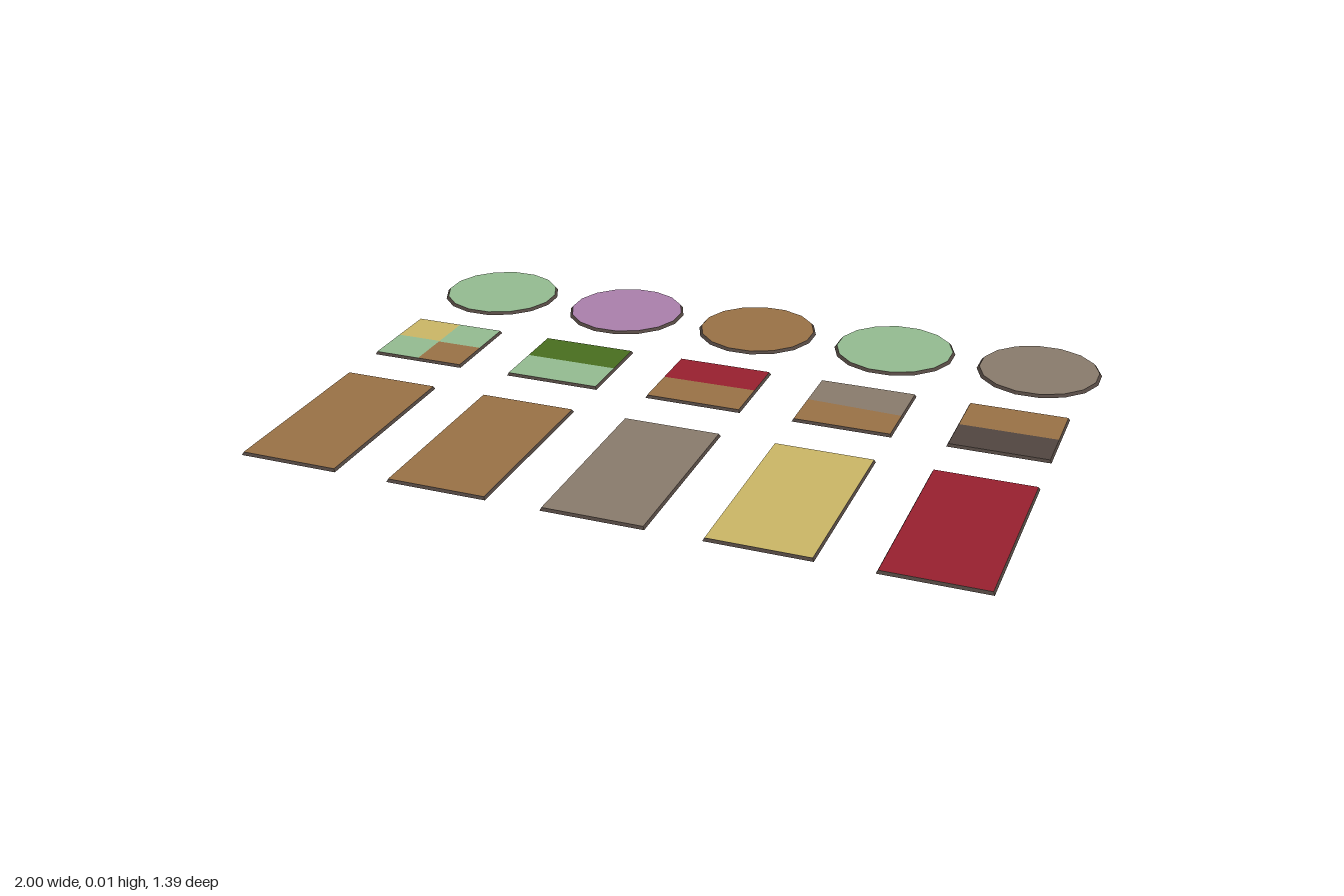
import * as THREE from 'three';

const mat = (name, color) => new THREE.MeshStandardMaterial({ name, color });

const H = 0.008;      // tile thickness
const STEP = 0.415;   // spacing between columns
const SIDES = 16;     // facets of the round tiles

export function createModel() {
  const model = new THREE.Group();
  model.name = 'tileSet';

  const M = {
    sage: mat('sage green', 0x93ba8f),
    purple: mat('purple', 0xa97eaa),
    brown: mat('brown', 0x987045),
    grey: mat('grey brown', 0x887a6b),
    sand: mat('sand yellow', 0xc9b565),
    forest: mat('forest green', 0x486d1e),
    red: mat('red', 0x97202e),
    dark: mat('dark edge', 0x50453f),
  };

  const add = (parent, name, geo, material, y = 0) => {
    const mesh = new THREE.Mesh(geo, material);
    mesh.name = name;
    mesh.position.y = y;
    parent.add(mesh);
  };

  const tile = (name, col, z) => {
    const g = new THREE.Group();
    g.name = name;
    g.position.set((col - 2) * STEP, 0, z);
    model.add(g);
    return g;
  };

  // flat coloured face from [x, z] corners
  const face = (parent, name, pts, material) => {
    const shape = new THREE.Shape(pts.map(([x, z]) => new THREE.Vector2(x, -z)));
    add(parent, name, new THREE.ShapeGeometry(shape).rotateX(-Math.PI / 2), material, H);
  };

  // rectangular base with sides sloping in towards the top
  const slab = (parent, w, d, inset) => {
    let geo = new THREE.BoxGeometry(w, H - 0.0006, d).translate(0, H / 2 - 0.0003, 0);
    const p = geo.attributes.position;
    for (let i = 0; i < p.count; i++) {
      if (p.getY(i) < H / 2) continue;
      p.setX(i, p.getX(i) - Math.sign(p.getX(i)) * inset);
      p.setZ(i, p.getZ(i) - Math.sign(p.getZ(i)) * inset);
    }
    geo = geo.toNonIndexed();
    geo.computeVertexNormals();
    add(parent, 'base', geo, M.dark);
  };

  // round tiles at the back
  const R = 0.1725;
  [M.sage, M.purple, M.brown, M.sage, M.grey].forEach((m, i) => {
    const g = tile('roundTile', i, -0.527);
    const turn = Math.PI / SIDES;
    let base = new THREE.CylinderGeometry(R - 0.007, R, H - 0.0006, SIDES)
      .rotateY(turn).translate(0, H / 2 - 0.0003, 0).toNonIndexed();
    base.computeVertexNormals();
    add(g, 'base', base, M.dark);
    add(g, 'face', new THREE.CircleGeometry(R - 0.007, SIDES).rotateX(-Math.PI / 2).rotateY(turn), m, H);
  });

  // square tiles in the middle: regions as [material, x0, x1, zBack, zFront]
  const W = 0.27, D = 0.265, IN = 0.004;
  const a = W / 2 - IN, b = D / 2 - IN;
  const halves = (back, front, left, right) => [
    [back, [[-a, -b], [-a, left], [a, right], [a, -b]]],
    [front, [[-a, left], [-a, b], [a, b], [a, right]]],
  ];
  const rect = (x0, x1, z0, z1) => [[x0, z0], [x0, z1], [x1, z1], [x1, z0]];
  const squares = [
    [
      [M.sand, rect(-a, 0, -b, 0)],
      [M.sage, rect(0, a, -b, 0.004)],
      [M.sage, rect(-a, 0, 0, b)],
      [M.brown, rect(0, a, 0.004, b)],
    ],
    halves(M.forest, M.sage, 0, 0),
    halves(M.red, M.brown, 0.003, 0),
    halves(M.grey, M.brown, 0.002, 0.014),
    halves(M.brown, M.dark, 0.009, 0.009),
  ];
  squares.forEach((parts, i) => {
    const g = tile('squareTile', i, -0.116);
    slab(g, W, D, IN);
    parts.forEach(([m, pts]) => face(g, 'facePatch', pts, m));
  });

  // long tiles at the front
  const L = 0.528;
  [M.brown, M.brown, M.grey, M.sand, M.red].forEach((m, i) => {
    const g = tile('longTile', i, 0.428);
    slab(g, W, L, IN);
    face(g, 'face', rect(-a, a, -L / 2 + IN, L / 2 - IN), m);
  });

  return model;
}
